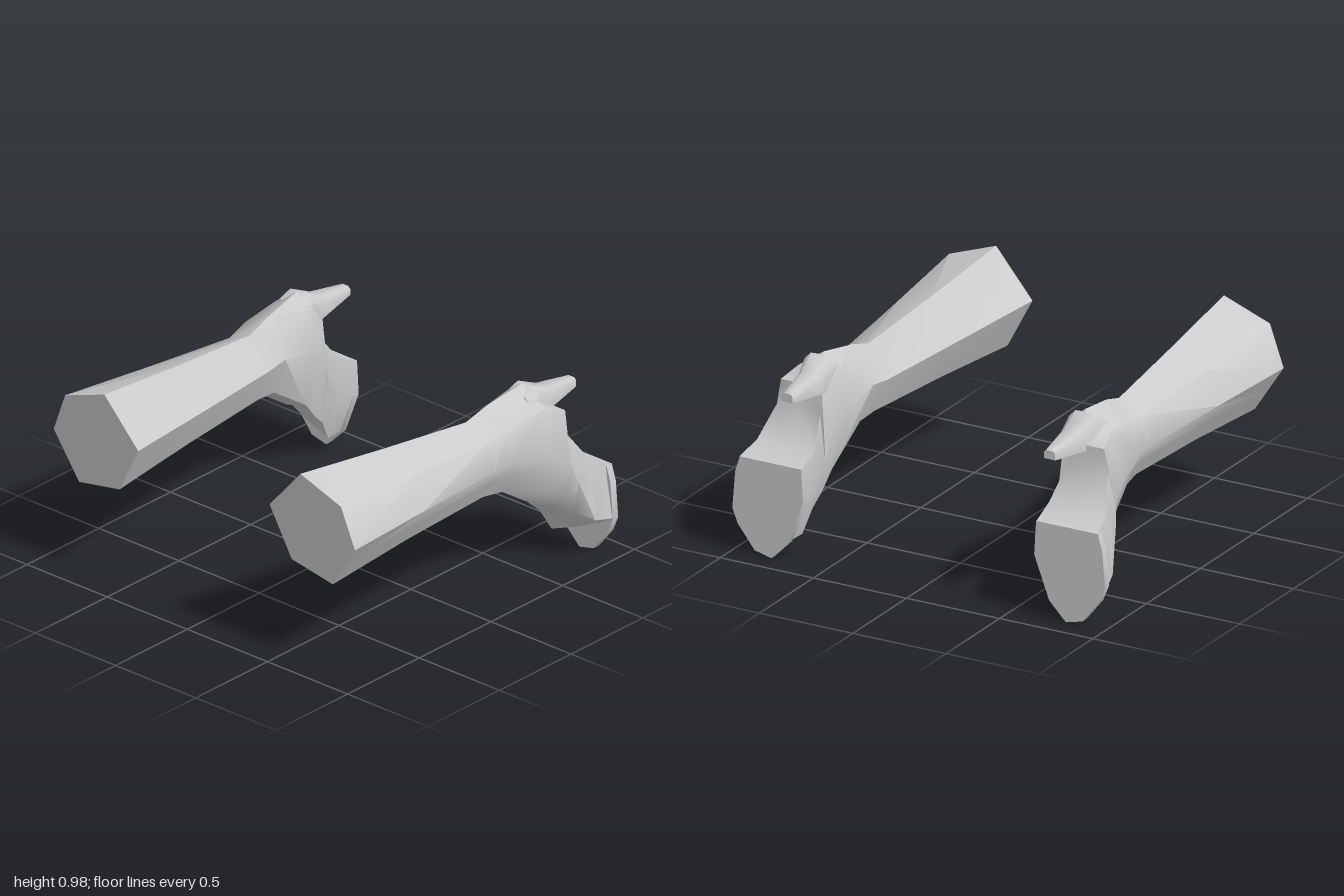
import * as THREE from 'three';
import { toCreasedNormals } from 'three/addons/utils/BufferGeometryUtils.js';

const material = new THREE.MeshStandardMaterial({ color: 0xcccccc, side: THREE.DoubleSide });

// Closed loft through rings of [x, y, z]; each ring runs clockwise seen from +z
function loft(name, rings, side) {
  const n = rings[0].length, pos = [], idx = [];
  const tri = (a, b, c) => (side > 0 ? idx.push(a, b, c) : idx.push(a, c, b));
  rings.flat().forEach(([x, y, z]) => pos.push(x * side, y, z));
  for (let i = 0; i < rings.length - 1; i++) {
    for (let j = 0; j < n; j++) {
      const a = i * n + j, b = i * n + (j + 1) % n;
      tri(a, b, a + n);
      tri(b, b + n, a + n);
    }
  }
  // End caps as fans around the ring centre
  [0, rings.length - 1].forEach((r) => {
    const centre = pos.length / 3;
    const mean = [0, 1, 2].map((k) => rings[r].reduce((s, p) => s + p[k], 0) / n);
    pos.push(mean[0] * side, mean[1], mean[2]);
    for (let j = 0; j < n; j++) {
      const a = r * n + j, b = r * n + (j + 1) % n;
      if (r === 0) tri(centre, b, a);
      else tri(centre, a, b);
    }
  });
  const geo = new THREE.BufferGeometry();
  geo.setAttribute('position', new THREE.Float32BufferAttribute(pos, 3));
  geo.setIndex(idx);
  const mesh = new THREE.Mesh(toCreasedNormals(geo, 0.85), material);
  mesh.name = name;
  return mesh;
}

// Cross-section shapes: [across, bottom to top], both 0..1
const sleeve = [[0, .56], [.19, .78], [.38, 1], [.85, .83], [1, .44], [.86, .22], [.72, 0], [.24, .09]];
const knuckle = [[0, .55], [.1, .9], [.38, 1], [.8, .85], [1, .45], [.85, .15], [.6, 0], [.22, .06]];
const palm = [[0, .5], [.12, .96], [.45, 1], [.83, 1], [1, .5], [.88, .15], [.55, .03], [.18, 0]];
const tip = [[0, .55], [.03, 1], [.5, 1], [.9, 1], [1, .31], [.85, .22], [.6, .12], [.22, 0]];

// Place a shape between its bottom and top points (z, y) and its x limits
const section = (shape, [bz, by], [tz, ty], x0, x1) =>
  shape.map(([u, v]) => [x0 + u * (x1 - x0), by + v * (ty - by), bz + v * (tz - bz)]);

const box = (z, x0, x1, y0, y1) => {
  const c = (x1 - x0) * 0.2;
  return [[x0, y0, z], [x0, y1 - c, z], [x0 + c, y1, z], [x1 - c, y1, z], [x1, y1 - c, z], [x1, y0, z]];
};

function createArm(side) {
  const arm = new THREE.Group();
  arm.name = side > 0 ? 'leftArm' : 'rightArm';

  // Forearm, wrist and hand in one skin
  arm.add(loft('forearmAndHand', [
    section(sleeve, [.87, .455], [.895, .98], .41, .94),
    section(sleeve, [.35, .485], [.35, .915], .485, .895),
    section(sleeve, [-.2, .5], [-.19, .86], .565, .85),
    section(sleeve, [-.32, .485], [-.32, .9], .57, .865),
    section(knuckle, [-.56, .325], [-.55, .94], .585, .9),
    section(palm, [-.63, .275], [-.665, .81], .61, .92),
    section(palm, [-.7, .21], [-.66, .69], .62, .94),
    section(tip, [-.76, .1], [-.77, .53], .62, .97),
    section(tip, [-.85, .1], [-.885, .48], .62, 1),
  ], side));

  // Thumb pointing straight out over the palm
  arm.add(loft('thumb', [
    box(-.5, .62, .8, .78, .9),
    box(-.57, .625, .795, .77, .93),
    box(-.68, .645, .765, .78, .88),
    box(-.89, .675, .735, .805, .848),
  ], side));

  // Thin fingertip plate hanging below the hand
  const outline = [[.62, .31], [.63, .48], [.96, .48], [.985, .4], [1, .215],
    [.97, .14], [.88, .025], [.79, .003], [.7, .095]];
  arm.add(loft('fingertips', [-.85, -.887].map((z) => outline.map(([x, y]) => [x, y, z])), side));
  return arm;
}

export function createModel() {
  const model = new THREE.Group();
  model.name = 'pairOfArms';
  model.add(createArm(1), createArm(-1));
  return model;
}
